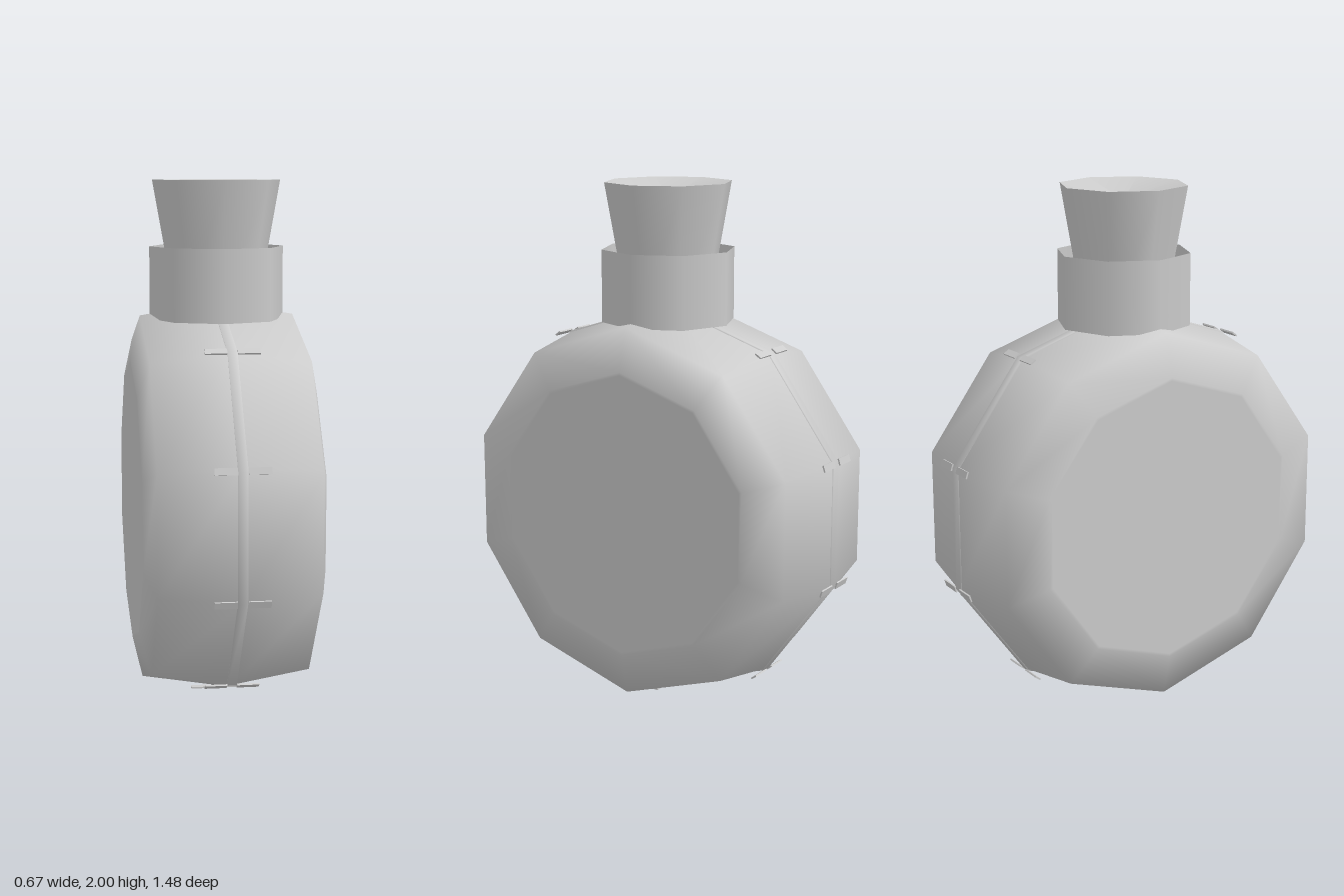
import * as THREE from 'three';

const CENTER_Y = 0.773;
const SIDES = 10;
const mat = new THREE.MeshStandardMaterial({ color: 0xcccccc });
const openMat = new THREE.MeshStandardMaterial({ color: 0xcccccc, side: THREE.DoubleSide });

function add(parent, name, geometry, material = mat) {
  const mesh = new THREE.Mesh(geometry, material);
  mesh.name = name;
  parent.add(mesh);
  return mesh;
}

// Ten-sided lathe turned about the x axis, with a corner straight up; points are [radius, x]
function wheel(points) {
  const profile = points.map(([r, x]) => new THREE.Vector2(r, x));
  return new THREE.LatheGeometry(profile, SIDES, Math.PI / 2).rotateZ(-Math.PI / 2);
}

export function createModel() {
  const group = new THREE.Group();
  group.name = 'flask';

  // Round, flat-faced body with bevelled rims
  const half = [[0.765, 0], [0.715, 0.295], [0.552, 0.333], [0.54, 0.333], [0, 0.333]];
  const mirrored = half.slice(1).reverse().map(([r, x]) => [r, -x]);
  const body = add(group, 'body', wheel([...mirrored, ...half]));
  body.position.y = CENTER_Y;

  // Thin seam around the rim
  const seam = add(group, 'seam',
    wheel([[0.755, -0.018], [0.768, -0.018], [0.768, 0.018], [0.755, 0.018]]), openMat);
  seam.position.y = CENTER_Y;

  // Pairs of short stitches across the seam, one pair at each corner except under the neck
  const stitches = new THREE.Group();
  stitches.name = 'stitches';
  stitches.position.y = CENTER_Y;
  for (let i = 1; i < SIDES; i++) {
    const corner = new THREE.Group();
    corner.name = 'stitchPair';
    corner.rotation.x = (i / SIDES) * Math.PI * 2;
    for (const side of [-1, 1]) {
      const stitch = add(corner, 'stitch', new THREE.BoxGeometry(0.082, 0.006, 0.026));
      stitch.position.set(side * 0.06, 0.769, 0);
    }
    stitches.add(corner);
  }
  group.add(stitches);

  // Eight-sided open neck
  const neck = add(group, 'neck', new THREE.CylinderGeometry(0.257, 0.257, 0.275, 8, 1, true), openMat);
  neck.position.y = 1.6125;

  // Flared stopper with a dished top, reaching down into the neck
  add(group, 'stopper', new THREE.CylinderGeometry(0.245, 0.165, 0.45, 8, 1, true), openMat)
    .position.y = 1.775;
  const dish = new THREE.LatheGeometry(
    [new THREE.Vector2(0.245, 2), new THREE.Vector2(0, 1.94)], 8);
  add(group, 'stopperTop', dish, openMat);

  return group;
}
